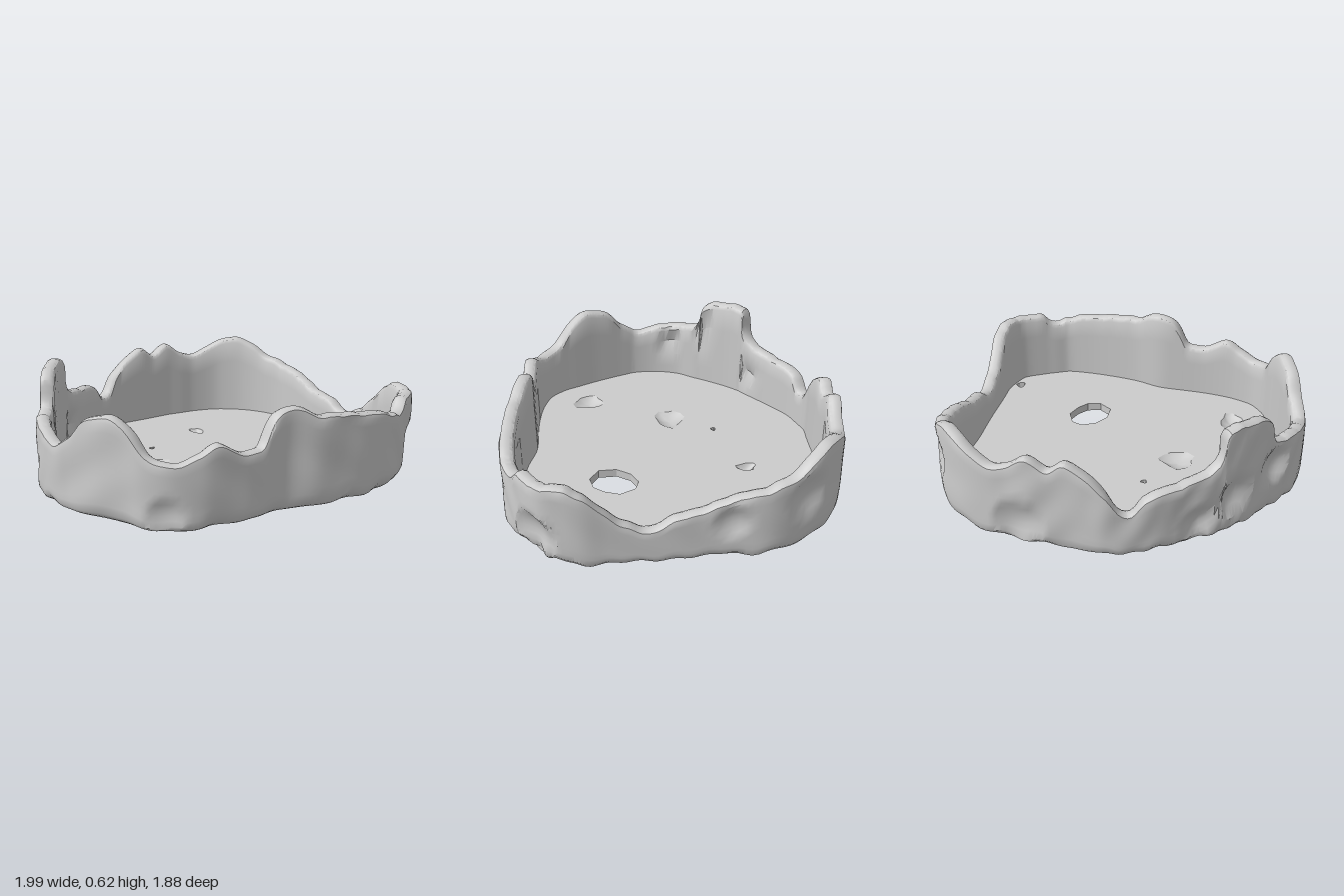
import * as THREE from 'three';
import { toCreasedNormals } from 'three/addons/utils/BufferGeometryUtils.js';

const THICK = 0.085, SEGMENTS = 260;

// Outer outline of the wall, clockwise from above: x, z, wall height
const OUTLINE = [
  [-1, -0.02, 0.34], [-0.98, -0.18, 0.37], [-0.91, -0.34, 0.4], [-0.83, -0.43, 0.42], [-0.79, -0.48, 0.57],
  [-0.67, -0.61, 0.61], [-0.59, -0.68, 0.6], [-0.54, -0.71, 0.42], [-0.38, -0.81, 0.37], [-0.22, -0.9, 0.34],
  [-0.11, -0.93, 0.25], [0, -0.95, 0.36], [0.1, -0.935, 0.46], [0.21, -0.92, 0.51], [0.3, -0.91, 0.47],
  [0.4, -0.9, 0.52], [0.5, -0.875, 0.46], [0.6, -0.85, 0.43], [0.75, -0.78, 0.5], [0.84, -0.7, 0.54],
  [0.91, -0.61, 0.52], [0.97, -0.48, 0.44], [1, -0.33, 0.4], [0.98, -0.15, 0.36], [0.96, 0, 0.3],
  [0.95, 0.15, 0.26], [0.94, 0.28, 0.205], [0.93, 0.38, 0.25], [0.92, 0.48, 0.33], [0.91, 0.6, 0.44],
  [0.88, 0.69, 0.48], [0.82, 0.8, 0.47], [0.67, 0.88, 0.46], [0.59, 0.91, 0.4], [0.5, 0.94, 0.42],
  [0.36, 0.935, 0.45], [0.2, 0.91, 0.47], [0, 0.86, 0.49], [-0.15, 0.795, 0.54], [-0.24, 0.78, 0.49],
  [-0.32, 0.77, 0.36], [-0.42, 0.755, 0.36], [-0.55, 0.725, 0.42], [-0.65, 0.69, 0.38], [-0.77, 0.62, 0.34],
  [-0.85, 0.51, 0.38], [-0.89, 0.4, 0.5], [-0.93, 0.28, 0.54], [-0.96, 0.17, 0.5], [-0.985, 0.07, 0.4],
];

// Chips knocked out of the wall: x, y, z, radius, depth
const OUTER_CHIPS = [
  [0.78, 0.15, 0.83, 0.15, 0.06], [0.95, 0.22, -0.14, 0.1, 0.03], [0.96, 0.3, -0.55, 0.13, 0.035],
  [0.45, 0.12, -0.89, 0.15, 0.04], [-0.63, 0.2, -0.64, 0.12, 0.05], [-0.82, 0.27, -0.43, 0.11, 0.04],
  [-0.45, 0.12, -0.77, 0.1, 0.04], [-0.8, 0.08, 0.6, 0.1, 0.03],
];
const INNER_CHIPS = [
  [-0.48, 0.19, -0.65, 0.08, 0.04], [-0.71, 0.42, -0.42, 0.08, 0.035], [-0.89, 0.28, -0.25, 0.09, 0.04],
];

const curve = new THREE.CatmullRomCurve3(OUTLINE.map(([x, z, h]) => new THREE.Vector3(x, h, z)), true, 'centripetal');

// Samples along the wall, each with its inward direction
const samples = Array.from({ length: SEGMENTS }, (_, i) => {
  const u = i / SEGMENTS, p = curve.getPoint(u), t = curve.getTangent(u);
  const inward = new THREE.Vector3(-t.z, 0, t.x).normalize();
  return { p, inward };
});

const lumps = (x, y, z) =>
  (Math.sin(x * 17 + y * 9 + 1) * Math.sin(z * 15 - y * 13) + 0.5 * Math.sin(x * 31 - z * 27 + y * 19)) / 1.5;

function chipDepth(chips, x, y, z) {
  let sum = 0;
  for (const [cx, cy, cz, r, depth] of chips) {
    const d = Math.hypot(x - cx, y - cy, z - cz) / r;
    if (d < 1) sum += depth * (1 - d * d);
  }
  return sum;
}

// Cross-section loops swept round the outline: worn foot, outer face, rounded rim, inner face
function wallGeometry() {
  const rows = 23, positions = [], index = [];
  for (const { p, inward } of samples) {
    const corner = Math.exp(-((p.x - 0.72) ** 2 + (p.z - 0.86) ** 2) / 0.09);
    const worn = 0.035 + 0.045 * corner + 0.018 * lumps(p.x * 1.3, 0, p.z * 1.3);
    const top = p.y + 0.008 * lumps(p.x * 2, 0.4, p.z * 2);
    const section = [[0.13, 0.002], [worn, 0.004], [worn * 0.5, worn * 0.45], [0.004, worn]];
    for (let k = 1; k <= 10; k++) section.push([0, worn + (top - 0.03 - worn) * k / 10]);
    section.push([0.01, top - 0.01], [0.028, top], [0.057, top], [0.075, top - 0.01]);
    for (let k = 0; k < 5; k++) section.push([THICK, top - 0.03 + (0.015 - top + 0.03) * k / 4]);
    section.forEach(([inset, y], j) => {
      const x = p.x + inward.x * inset, z = p.z + inward.z * inset;
      let push = 0;
      if (j > 0 && j < 14) push = chipDepth(OUTER_CHIPS, x, y, z) + 0.006 * (1 + lumps(x, y, z));
      if (j > 17) push = -chipDepth(INNER_CHIPS, x, y, z);
      positions.push(x + inward.x * push, y, z + inward.z * push);
    });
  }
  for (let i = 0; i < SEGMENTS; i++) {
    const n = (i + 1) % SEGMENTS;
    for (let j = 0; j < rows - 1; j++) {
      const a = i * rows + j, b = n * rows + j;
      index.push(a, a + 1, b, b, a + 1, b + 1);
    }
  }
  const geometry = new THREE.BufferGeometry();
  geometry.setAttribute('position', new THREE.Float32BufferAttribute(positions, 3));
  geometry.setIndex(index);
  return toCreasedNormals(geometry, 0.6);
}

// Irregular ring of points round a centre
function blob(cx, cz, rx, rz, seed) {
  return Array.from({ length: 12 }, (_, i) => {
    const a = i / 12 * Math.PI * 2, r = 1 + 0.15 * Math.sin(a * 3 + seed) + 0.08 * Math.sin(a * 5 + seed * 2);
    return new THREE.Vector2(cx + Math.cos(a) * rx * r, cz + Math.sin(a) * rz * r);
  });
}

// Flat plate following the outline, with holes, from y = bottom to y = top
function plateGeometry(inset, bottom, top, holes) {
  const shape = new THREE.Shape(samples.map(({ p, inward }) =>
    new THREE.Vector2(p.x + inward.x * inset, p.z + inward.z * inset)));
  shape.holes = holes.map((points) => new THREE.Path(points));
  const geometry = new THREE.ExtrudeGeometry(shape, { depth: top - bottom, bevelEnabled: false });
  return geometry.rotateX(Math.PI / 2).translate(0, top, 0);
}

// Shallow bowl that fills a hole in the upper plate
function bowlGeometry(ring, cx, cz, top, depth) {
  const positions = [], index = [], steps = [[1, 0], [0.75, 0.5], [0.4, 0.9], [0, 1]], n = ring.length;
  for (const [scale, drop] of steps) {
    for (const q of ring) positions.push(cx + (q.x - cx) * scale, top - depth * drop, cz + (q.y - cz) * scale);
  }
  for (let j = 0; j < steps.length - 1; j++) {
    for (let i = 0; i < n; i++) {
      const a = j * n + i, b = j * n + (i + 1) % n;
      index.push(a, a + n, b, b, a + n, b + n);
    }
  }
  const geometry = new THREE.BufferGeometry();
  geometry.setAttribute('position', new THREE.Float32BufferAttribute(positions, 3));
  geometry.setIndex(index);
  geometry.computeVertexNormals();
  return geometry;
}

export function createModel() {
  const group = new THREE.Group();
  const material = new THREE.MeshStandardMaterial({ color: 0xcccccc, side: THREE.DoubleSide });
  const add = (name, geometry) => {
    const mesh = new THREE.Mesh(geometry, material);
    mesh.name = name;
    group.add(mesh);
  };

  // Ragged wall
  add('wall', wallGeometry());

  // Floor in two layers: holes pass through both, dents only through the upper one
  const bigHole = [[0.15, 0.4], [0.16, 0.3], [0.22, 0.23], [0.3, 0.2], [0.36, 0.23], [0.39, 0.32], [0.35, 0.4],
    [0.3, 0.45], [0.22, 0.46]].map(([x, z]) => new THREE.Vector2(x, z));
  const holes = [bigHole, blob(-0.13, -0.34, 0.017, 0.013, 2), blob(0.767, 0.64, 0.026, 0.03, 1)];
  const dents = [[-0.3, -0.11, 0.095, 0.085, 1], [-0.6, 0.34, 0.07, 0.09, 4], [0.29, -0.42, 0.035, 0.055, 2]]
    .map((d) => ({ x: d[0], z: d[1], ring: blob(...d) }));
  add('floorBase', plateGeometry(0.11, 0.002, 0.018, holes));
  add('floorTop', plateGeometry(0.07, 0.018, 0.05, [...holes, ...dents.map((d) => d.ring)]));
  dents.forEach((d) => add('floorDent', bowlGeometry(d.ring, d.x, d.z, 0.05, 0.03)));

  return group;
}
